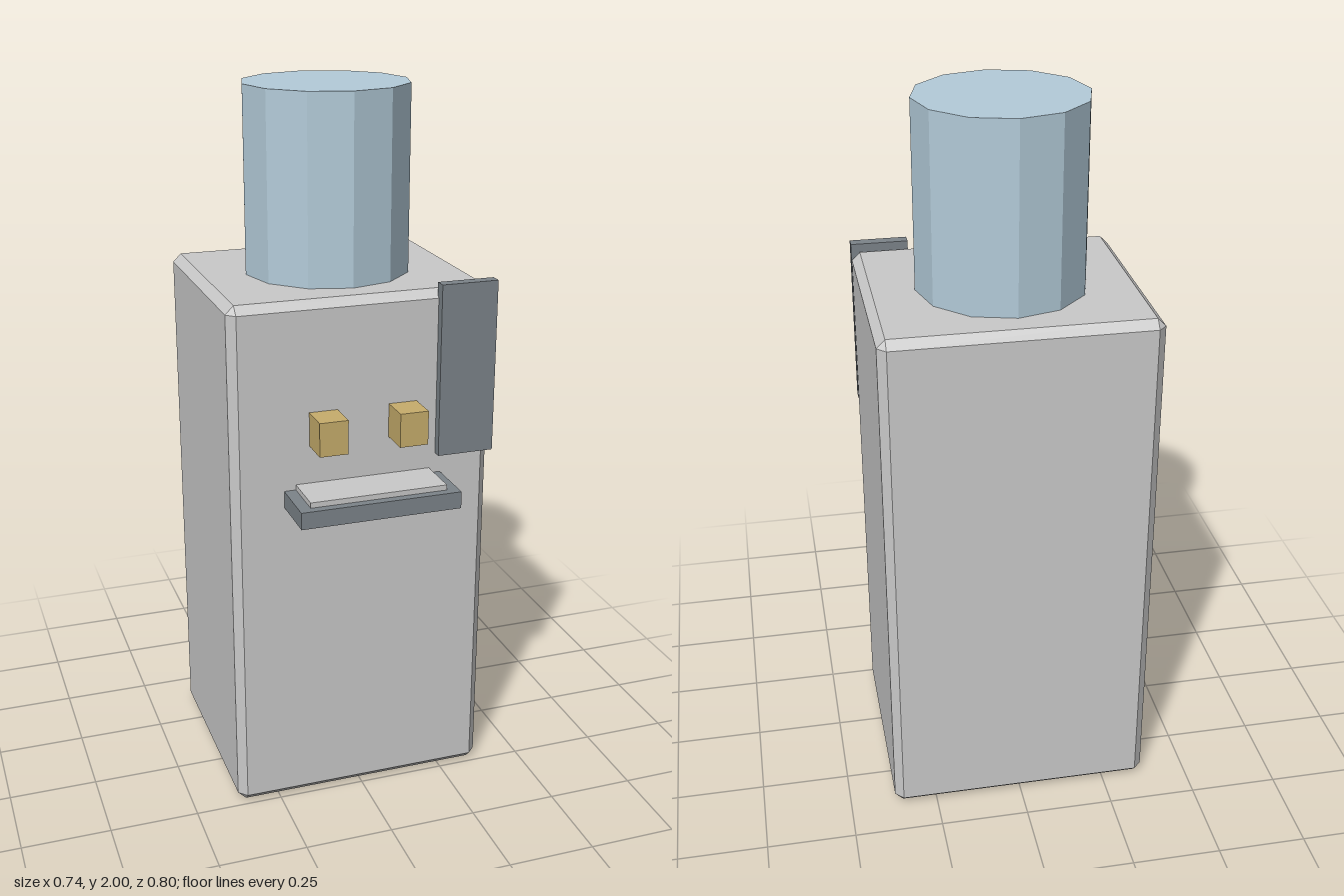
import * as THREE from 'three';
import { ConvexGeometry } from 'three/addons/geometries/ConvexGeometry.js';

const material = (name, color) => {
  const m = new THREE.MeshStandardMaterial({ color });
  m.name = name;
  return m;
};

// Box with flat bevels on all edges and corners, centred on the origin
function chamferedBox(w, h, d, c) {
  const points = [];
  for (const x of [-1, 1]) for (const y of [-1, 1]) for (const z of [-1, 1]) {
    const [a, b, e] = [w / 2, h / 2, d / 2];
    points.push(
      new THREE.Vector3(x * a, y * (b - c), z * (e - c)),
      new THREE.Vector3(x * (a - c), y * b, z * (e - c)),
      new THREE.Vector3(x * (a - c), y * (b - c), z * e)
    );
  }
  return new ConvexGeometry(points);
}

export function createModel() {
  const group = new THREE.Group();
  group.name = 'waterCooler';
  const casing = material('light grey casing', 0xcacaca);
  const trim = material('dark grey trim', 0x7d848a);
  const water = material('pale blue bottle', 0xb4ccda);
  const brass = material('brass tap', 0xc8ae6c);

  const add = (name, geometry, mat, x, y, z) => {
    const mesh = new THREE.Mesh(geometry, mat);
    mesh.name = name;
    mesh.position.set(x, y, z);
    group.add(mesh);
  };
  // Box given by its limits on each axis
  const addBox = (name, mat, [x0, x1], [y0, y1], [z0, z1]) =>
    add(name, new THREE.BoxGeometry(x1 - x0, y1 - y0, z1 - z0), mat,
      (x0 + x1) / 2, (y0 + y1) / 2, (z0 + z1) / 2);

  // Cabinet
  add('cabinet', chamferedBox(0.742, 1.485, 0.643, 0.023), casing, 0, 0.7425, -0.078);

  // Twelve-sided bottle, faceted
  const bottle = new THREE.CylinderGeometry(0.233, 0.233, 0.52, 12).toNonIndexed();
  bottle.computeVertexNormals();
  add('bottle', bottle, water, 0, 1.74, -0.078);

  // Side panel on the front
  addBox('frontPanel', trim, [0.21, 0.371], [1.02, 1.504], [0.235, 0.268]);

  // Drip tray and its grate
  addBox('dripTray', trim, [-0.226, 0.226], [0.915, 0.963], [0.2, 0.398]);
  addBox('dripGrate', casing, [-0.193, 0.193], [0.95, 0.978], [0.22, 0.374]);

  // Pair of taps
  for (const [name, x] of [['rightTap', -0.114], ['leftTap', 0.112]])
    addBox(name, brass, [x - 0.04, x + 0.04], [1.085, 1.18], [0.22, 0.333]);

  return group;
}
